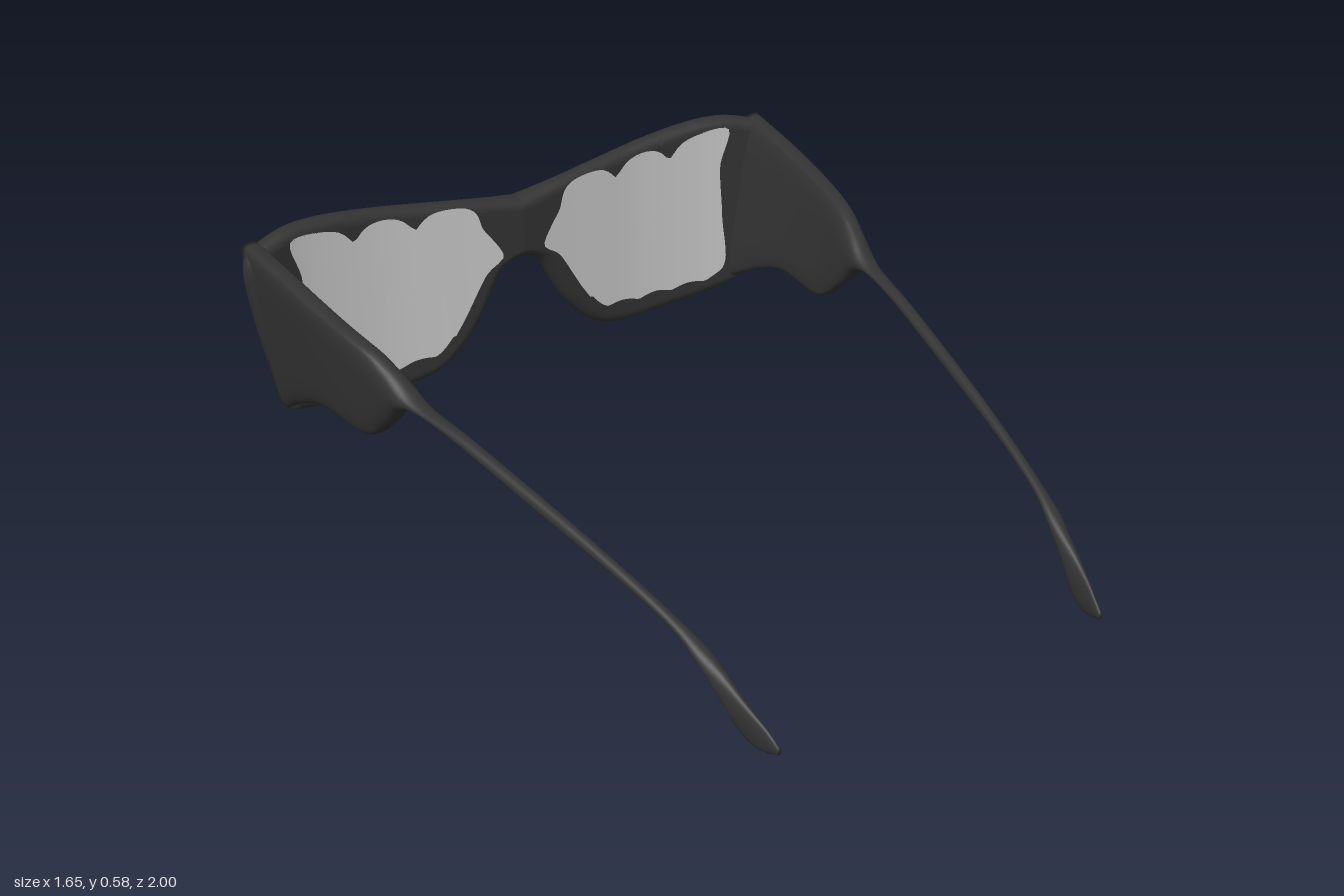
import * as THREE from 'three';
import { toCreasedNormals } from 'three/addons/utils/BufferGeometryUtils.js';

const frameMat = new THREE.MeshStandardMaterial({ color: 0x333333 });
const lensMat = new THREE.MeshStandardMaterial({ color: 0xcccccc });
const lensCentre = new THREE.Vector2(0.42, 0.32);
const { clamp } = THREE.MathUtils;

// Smooth curve through a few points
const spline = pts => new THREE.SplineCurve(pts.map(p => new THREE.Vector2(...p))).getPoints(240);

// Smooth function y(x) through a few points
function profile(pts) {
  const s = spline(pts);
  return x => {
    let i = 1;
    while (i < s.length - 1 && s[i].x < x) i++;
    const a = s[i - 1], b = s[i];
    return a.y + (b.y - a.y) * clamp((x - a.x) / (b.x - a.x), 0, 1);
  };
}

// Closed smooth outline through a few points
function closedOutline(pts) {
  const c = new THREE.CatmullRomCurve3(pts.map(p => new THREE.Vector3(...p, 0)), true, 'catmullrom', 0.4);
  return c.getPoints(300).map(p => new THREE.Vector2(p.x, p.y));
}

// Furthest point of an outline along a ray from the lens centre
function rayHit(outline, angle) {
  const dx = Math.cos(angle), dy = Math.sin(angle);
  let best = 0;
  for (let i = 0; i < outline.length; i++) {
    const a = outline[i].clone().sub(lensCentre);
    const e = outline[(i + 1) % outline.length].clone().sub(outline[i]);
    const den = dx * e.y - dy * e.x;
    if (Math.abs(den) < 1e-9) continue;
    const u = (a.x * dy - a.y * dx) / den;
    if (u >= -1e-6 && u <= 1 + 1e-6) best = Math.max(best, (a.x * e.y - a.y * e.x) / den);
  }
  return new THREE.Vector2(dx, dy).multiplyScalar(best).add(lensCentre);
}

// Surface from rows of [x, y, z]; side = -1 mirrors it to the other half
function surface(rows, side, { wrapI = false, wrapJ = false, flip = false }) {
  const n = rows.length, m = rows[0].length, index = [];
  const pos = rows.flat().flatMap(p => [p[0] * side, p[1], p[2]]);
  for (let i = 0; i < (wrapI ? n : n - 1); i++) {
    for (let j = 0; j < (wrapJ ? m : m - 1); j++) {
      const i2 = (i + 1) % n, j2 = (j + 1) % m;
      const a = i * m + j, b = i2 * m + j, c = i2 * m + j2, d = i * m + j2;
      if (flip !== (side < 0)) index.push(a, c, b, a, d, c);
      else index.push(a, b, c, a, c, d);
    }
  }
  const g = new THREE.BufferGeometry();
  g.setAttribute('position', new THREE.Float32BufferAttribute(pos, 3));
  g.setIndex(index);
  g.computeVertexNormals();
  return g;
}

// Depth of the outer and inner faces of the front
const outerDepth = profile([[0, -0.98], [0.14, -0.978], [0.43, -1.0], [0.63, -0.992], [0.77, -0.957], [0.83, -0.92]]);
const innerDepth = profile([[0, -0.89], [0.2, -0.91], [0.42, -0.924], [0.65, -0.907], [0.83, -0.86]]);
const zOuter = p => outerDepth(p.x) + 0.25 * (p.y - 0.33) ** 2;
const zInner = p => innerDepth(p.x);

// Half outline of the front, and the outer lens opening
const noseY = 0.345, browY = 0.525;
const rim = spline([[0, noseY], [0.06, 0.315], [0.15, 0.155], [0.27, 0.05], [0.45, 0.035], [0.69, 0.065],
  [0.745, 0.12], [0.808, 0.4], [0.82, 0.55], [0.75, 0.593], [0.6, 0.605], [0.25, 0.56], [0, browY]]);
const outerOpening = closedOutline([[0.095, 0.415], [0.11, 0.35], [0.2, 0.21], [0.28, 0.15], [0.45, 0.14],
  [0.74, 0.19], [0.785, 0.475], [0.6, 0.485], [0.3, 0.455]]);

// Inner opening, with scallops along its top and bottom
const innerOpening = closedOutline([[0.065, 0.37], [0.12, 0.32], [0.2, 0.185], [0.27, 0.11], [0.45, 0.095],
  [0.67, 0.115], [0.672, 0.3], [0.665, 0.46], [0.69, 0.575], [0.55, 0.572], [0.18, 0.54], [0.12, 0.46]]);
for (const p of innerOpening) {
  if (p.y > 0.48) for (const notch of [0.32, 0.5]) p.y -= 0.06 * Math.exp(-Math.abs(p.x - notch) / 0.03);
  if (p.y < 0.15) p.y += 0.012 * Math.abs(Math.cos(p.x * 28));
}

// Directions around the lens, including both corners on the centre line
const cornerAngle = y => Math.atan2(y - lensCentre.y, -lensCentre.x);
const angles = Array.from({ length: 180 }, (_, i) => -Math.PI + (i + 0.5) * Math.PI / 90);
angles.push(cornerAngle(noseY), cornerAngle(browY));
angles.sort((a, b) => a - b);

// Ring around one lens with a rounded rim, flat where the halves meet
function frameHalf(side) {
  const r = 0.03, edge = angles.map(a => rayHit(rim, a));
  const rows = angles.map((angle, i) => {
    const o = edge[i], front = rayHit(outerOpening, angle), back = rayHit(innerOpening, angle);
    const prev = edge[(i + edge.length - 1) % edge.length], next = edge[(i + 1) % edge.length];
    const normal = new THREE.Vector2(next.y - prev.y, prev.x - next.x).normalize();
    const inset = o.clone().addScaledVector(normal, -r);
    inset.x = Math.max(inset.x, 0);
    if (o.x < 1e-4) {
      inset.set(0, clamp(o.y, noseY + r, browY - r));
      normal.set(0, (o.y - inset.y) / r);
    }
    const zf = zOuter(inset), zb = zInner(inset), row = [];
    for (let k = 0; k < 5; k++) {
      const p = front.clone().lerp(inset, k / 5);
      row.push([p.x, p.y, zOuter(p)]);
    }
    for (let k = 0; k <= 10; k++) {
      const a = Math.PI * k / 10, p = inset.clone().addScaledVector(normal, r * Math.sin(a));
      row.push([Math.max(p.x, 0), p.y, (zf + zb) / 2 - (zb - zf) / 2 * Math.cos(a)]);
    }
    for (let k = 1; k <= 5; k++) {
      const p = inset.clone().lerp(back, k / 5);
      row.push([p.x, p.y, zInner(p)]);
    }
    return row;
  });
  return toCreasedNormals(surface(rows, side, { wrapI: true }), 0.9);
}

// Lens face filling one opening
function lensFace(side, outline, depth, flip) {
  const rows = angles.map(angle => {
    const e = rayHit(outline, angle);
    return Array.from({ length: 13 }, (_, k) => {
      const p = lensCentre.clone().lerp(e, k / 12);
      return [p.x, p.y, depth(p)];
    });
  });
  return surface(rows, side, { wrapI: true, flip });
}

// Temple shape along z: lower edge, upper edge, sideways position, half width
const lower = profile([[-0.925, 0.08], [-0.8, 0.155], [-0.65, 0.215], [-0.45, 0.224], [-0.34, 0.3], [-0.26, 0.375],
  [-0.15, 0.392], [0.2, 0.325], [0.7, 0.208], [0.9, 0.033], [1, 0.04]]);
const upper = profile([[-0.925, 0.592], [-0.7, 0.565], [-0.4, 0.515], [-0.3, 0.475], [-0.2, 0.422], [0, 0.396],
  [0.4, 0.316], [0.72, 0.224], [0.93, 0.11], [1, 0.06]]);
const middle = profile([[-0.925, 0.755], [-0.6, 0.742], [-0.2, 0.686], [0.4, 0.58], [1, 0.464]]);
const halfWidth = profile([[-0.925, 0.035], [-0.5, 0.031], [-0.28, 0.036], [-0.15, 0.02], [0.2, 0.017], [0.65, 0.014], [0.8, 0.022], [1, 0.006]]);

// Side shield narrowing into a thin arm with a drooping tip
function temple(side) {
  const bend = (c, power) => Math.sign(c) * Math.abs(c) ** power;
  const rows = Array.from({ length: 111 }, (_, i) => {
    const z = -0.925 + 1.925 * i / 110;
    const height = upper(z) - lower(z), y = (upper(z) + lower(z)) / 2;
    const power = clamp(1.1 - 2 * height, 0.45, 1);
    const lean = Math.max(0, 0.08 * (height - 0.06));
    return Array.from({ length: 36 }, (_, j) => {
      const a = j * Math.PI / 18, v = -bend(Math.sin(a), power);
      return [middle(z) + halfWidth(z) * bend(Math.cos(a), power) + lean * v, y + height / 2 * v, z];
    });
  });
  // Close both ends
  const cap = row => row.map(() => [0, 1, 2].map(c => row.reduce((sum, p) => sum + p[c], 0) / row.length));
  rows.unshift(cap(rows[0]));
  rows.push(cap(rows[rows.length - 1]));
  return surface(rows, side, { wrapJ: true });
}

export function createModel() {
  const model = new THREE.Group();
  model.name = 'sunglasses';
  const add = (name, geometry, material) => {
    const mesh = new THREE.Mesh(geometry, material);
    mesh.name = name;
    model.add(mesh);
  };
  for (const [side, label] of [[1, 'left'], [-1, 'right']]) {
    add(label + 'FrameFront', frameHalf(side), frameMat);
    add(label + 'LensOuterFace', lensFace(side, outerOpening, zOuter, false), lensMat);
    add(label + 'LensInnerFace', lensFace(side, innerOpening, zInner, true), lensMat);
    add(label + 'Temple', temple(side), frameMat);
  }
  return model;
}
